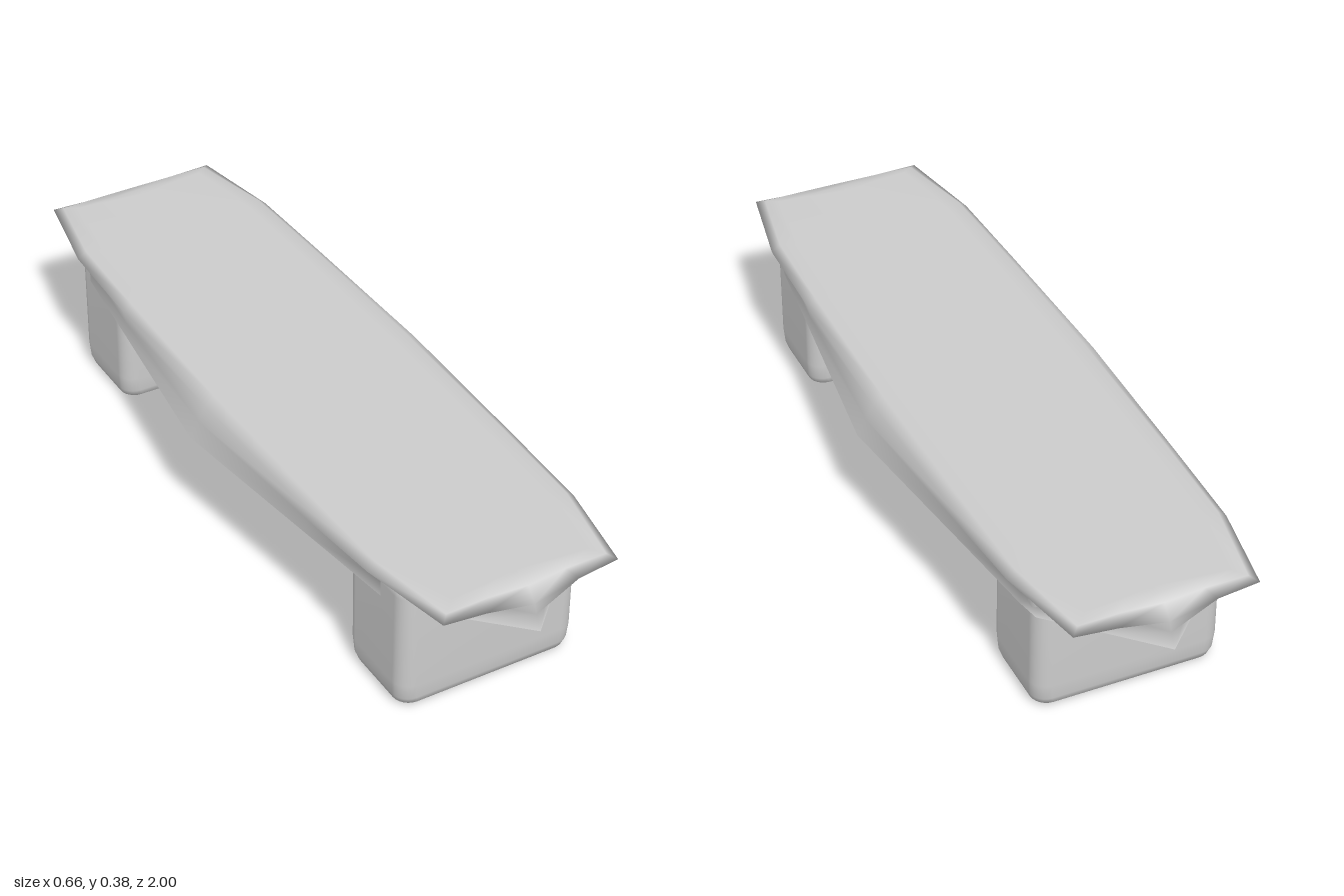
import * as THREE from 'three';

// Skins a stack of closed rings (bottom to top); each ring is a list of [x, y, z]
function loft(rings) {
  const n = rings[0].length, index = [];
  for (let i = 0; i < rings.length - 1; i++) {
    for (let j = 0; j < n; j++) {
      const a = i * n + j, b = i * n + (j + 1) % n;
      index.push(a, a + n, b, b, a + n, b + n);
    }
  }
  const geo = new THREE.BufferGeometry();
  geo.setAttribute('position', new THREE.Float32BufferAttribute(rings.flat(2), 3));
  geo.setIndex(index);
  geo.computeVertexNormals();
  return geo;
}

// Mirrors a quarter outline, running from the side middle to the end middle
function mirrorQuarter(q) {
  const last = q.length - 1;
  const half = [...q, ...q.slice(0, last).reverse().map(([x, y, z]) => [-x, y, z])];
  return [...half, ...half.slice(1, -1).reverse().map(([x, y, z]) => [x, y, -z])];
}

// Rounded rectangle ring with half sizes w, d and corner radius r
function roundedRing(w, d, r, y) {
  const ring = [];
  for (let c = 0; c < 4; c++) {
    const sx = c === 0 || c === 3 ? 1 : -1, sz = c < 2 ? 1 : -1;
    for (let k = 0; k <= 6; k++) {
      const a = (c + k / 6) * Math.PI / 2;
      ring.push([sx * (w - r) + r * Math.cos(a), y, sz * (d - r) + r * Math.sin(a)]);
    }
  }
  return ring;
}

export function createModel() {
  const group = new THREE.Group();
  const grey = new THREE.MeshStandardMaterial({ color: 0xcccccc });
  const thin = new THREE.MeshStandardMaterial({ color: 0xcccccc, side: THREE.DoubleSide });

  // Seat: a thin shell, open below, with a flared skirt and overhanging corners
  const lip = [[0.265, 0.376, 0], [0.258, 0.376, 0.45], [0.25, 0.376, 0.72],
    [0.207, 0.372, 0.94], [0.1, 0.373, 0.94], [0, 0.37, 0.945]];
  const profile = [
    // skirt rim
    [[0.332, 0.28, 0], [0.274, 0.28, 0.45], [0.24, 0.28, 0.72],
      [0.228, 0.28, 0.78], [0.11, 0.28, 0.893], [0, 0.28, 1]],
    // pinched middle of the skirt
    [[0.31, 0.322, 0], [0.273, 0.322, 0.45], [0.24, 0.322, 0.72],
      [0.212, 0.325, 0.77], [0.11, 0.322, 0.872], [0, 0.315, 0.982]],
    // outer edge
    [[0.29, 0.358, 0], [0.28, 0.358, 0.45], [0.272, 0.358, 0.72],
      [0.226, 0.362, 0.96], [0.12, 0.355, 0.965], [0, 0.337, 0.973]],
    lip,
    // flat top closing on the middle line
    lip.map(([x, , z]) => [x * 0.85, 0.378, z * 0.97]),
    lip.map(([, , z]) => [0, 0.378, z * 0.95]),
  ];
  const seat = new THREE.Mesh(loft(profile.map(mirrorQuarter)), thin);
  seat.name = 'seat';
  group.add(seat);

  // Legs: wide blocks with rounded uprights and a softened foot
  const legGeo = loft([
    roundedRing(0, 0, 0, 0.002),
    roundedRing(0.14, 0.06, 0.03, 0.002),
    roundedRing(0.2, 0.095, 0.04, 0.005),
    roundedRing(0.225, 0.112, 0.04, 0.012),
    roundedRing(0.231, 0.118, 0.04, 0.03),
    roundedRing(0.234, 0.121, 0.04, 0.07),
    roundedRing(0.234, 0.122, 0.04, 0.32),
    roundedRing(0.228, 0.117, 0.04, 0.345),
    roundedRing(0, 0, 0, 0.35),
  ]);
  for (const [name, z] of [['frontLeg', 0.697], ['backLeg', -0.665]]) {
    const leg = new THREE.Mesh(legGeo, grey);
    leg.name = name;
    leg.position.set(-0.005, 0, z);
    group.add(leg);
  }
  return group;
}
